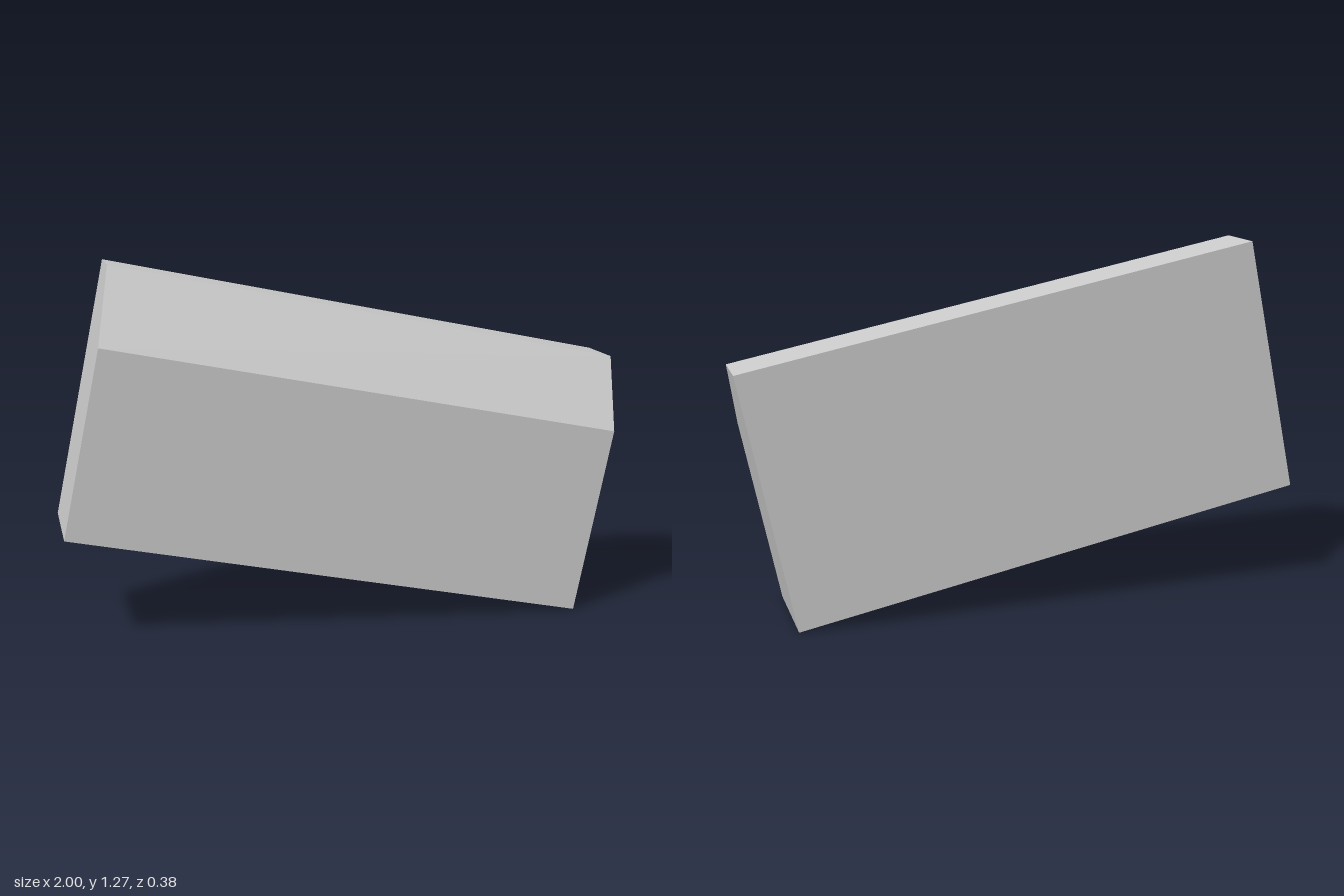
import * as THREE from 'three';

const LENGTH = 1.853, HEIGHT = 0.916, DEPTH = 0.38, TILT = -0.2037;

export function createModel() {
  const group = new THREE.Group();
  group.name = 'tiltedBlock';

  // End profile: a slab with its upper front edge cut away (shape x = -z)
  const h = HEIGHT / 2, d = DEPTH / 2, ridgeZ = 0.01, foldY = 0.2;
  const profile = new THREE.Shape([
    [-d, -h], [d, -h], [d, h], [-ridgeZ, h], [-d, foldY],
  ].map(([x, y]) => new THREE.Vector2(x, y)));

  const geometry = new THREE.ExtrudeGeometry(profile, { depth: LENGTH, bevelEnabled: false });
  geometry.translate(0, 0, -LENGTH / 2);
  geometry.rotateY(Math.PI / 2);

  // The cut narrows slightly toward the left end
  const p = geometry.attributes.position;
  for (let i = 0; i < p.count; i++) {
    if (p.getX(i) < 0) continue;
    if (Math.abs(p.getZ(i) - ridgeZ) < 1e-4) p.setZ(i, ridgeZ + 0.006);
    if (Math.abs(p.getY(i) - foldY) < 1e-4) p.setY(i, foldY + 0.01);
  }
  geometry.computeVertexNormals();

  // Tilted so one lower corner rests on the ground
  const block = new THREE.Mesh(
    geometry,
    new THREE.MeshStandardMaterial({ color: 0xcccccc, flatShading: true }),
  );
  block.name = 'chamferedBlock';
  block.rotation.z = TILT;
  block.position.y = (LENGTH * Math.sin(-TILT) + HEIGHT * Math.cos(TILT)) / 2;
  group.add(block);
  return group;
}
